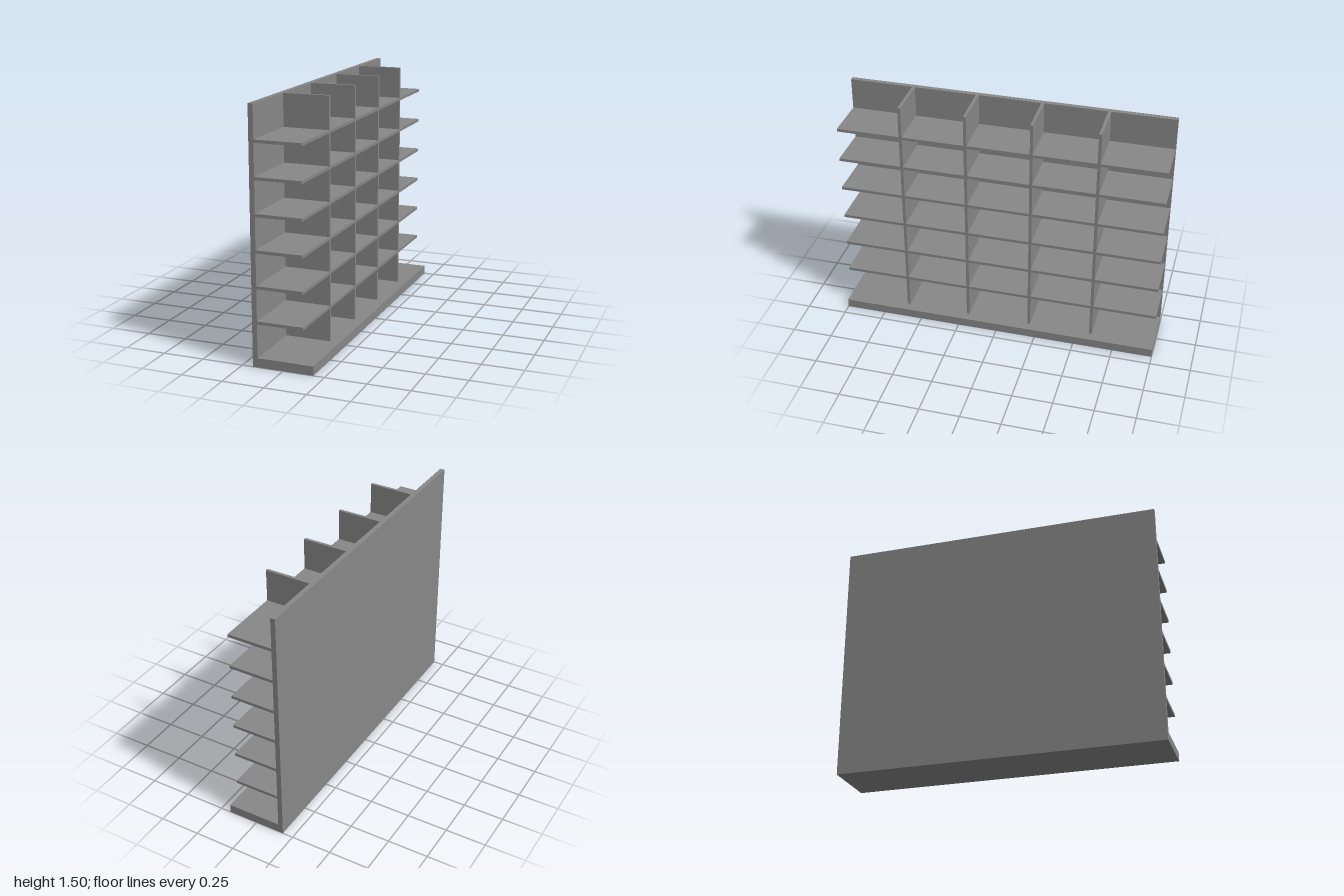
import * as THREE from 'three';

export function createModel() {
  const model = new THREE.Group();
  const grey = new THREE.MeshStandardMaterial({ color: 0x888888 });
  grey.name = 'grey';

  // Box given by its minimum and maximum corners
  function board(name, min, max) {
    const size = max.map((v, i) => v - min[i]);
    const mesh = new THREE.Mesh(new THREE.BoxGeometry(...size), grey);
    mesh.position.set(...min.map((v, i) => v + size[i] / 2));
    mesh.name = name;
    model.add(mesh);
  }

  const height = 1.495, baseTop = 0.055;
  const backX = -0.184, innerX = -0.154, frontX = 0.124, baseX = 0.184;
  const half = 0.009; // half the thickness of shelves and dividers

  // Plinth and back panel
  board('base', [backX, 0, -1], [baseX, baseTop, 1]);
  board('backPanel', [backX, baseTop, -1], [innerX, height, 1]);

  // Six shelves, open at both ends
  const shelfY = Array.from({ length: 6 }, (_, i) => 0.2635 + i * 0.2056);
  for (const y of shelfY) {
    board('shelf', [innerX, y - half, -1], [frontX, y + half, 1]);
  }

  // Four rows of upright dividers, filling the gaps between shelves
  const bottoms = [baseTop, ...shelfY.map((y) => y + half)];
  const tops = [...shelfY.map((y) => y - half), height];
  for (const z of [-0.6, -0.2, 0.2, 0.6]) {
    bottoms.forEach((y, i) => {
      board('divider', [innerX, y, z - half], [frontX, tops[i], z + half]);
    });
  }
  return model;
}
